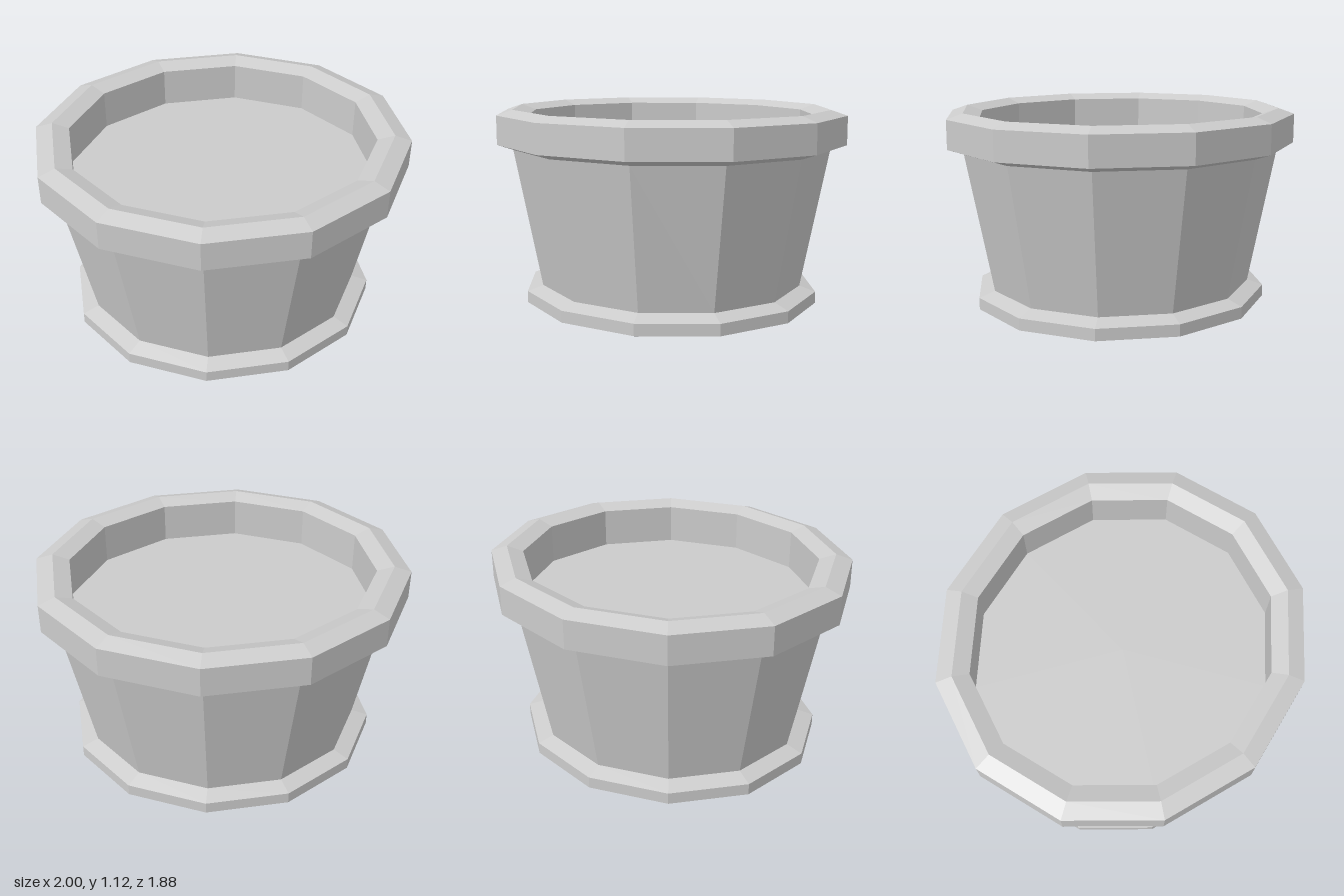
import * as THREE from 'three';

const SIDES = 12;
const DEPTH = 0.94; // the pot is slightly narrower front to back

// Faceted ring from a profile of [half width across flats, height]
function facetedLathe(name, profile, material) {
  const k = 1 / Math.cos(Math.PI / SIDES);
  const points = profile.map(([r, y]) => new THREE.Vector2(r * k, y));
  const geometry = new THREE.LatheGeometry(points, SIDES, Math.PI / SIDES).toNonIndexed();
  geometry.scale(1, 1, DEPTH);
  geometry.computeVertexNormals();
  const mesh = new THREE.Mesh(geometry, material);
  mesh.name = name;
  return mesh;
}

export function createModel() {
  const group = new THREE.Group();
  group.name = 'planterPot';
  const material = new THREE.MeshStandardMaterial({ color: 0xcccccc, flatShading: true });

  group.add(
    // Bevelled foot with a recessed underside
    facetedLathe('foot', [[0.755, 0.065], [0.76, 0], [0.85, 0.03], [0.85, 0.095], [0.76, 0.125]], material),
    facetedLathe('base', [[0, 0.065], [0.755, 0.065]], material),
    // Tapered wall
    facetedLathe('wall', [[0.76, 0.125], [0.91, 0.9]], material),
    // Bevelled rim, with its inner face running down to the soil
    facetedLathe('rim', [[0.91, 0.9], [1, 0.93], [1, 1.09], [0.91, 1.12], [0.82, 1.09], [0.82, 0.87]], material),
    facetedLathe('soil', [[0.82, 0.87], [0, 0.87]], material),
  );
  return group;
}
